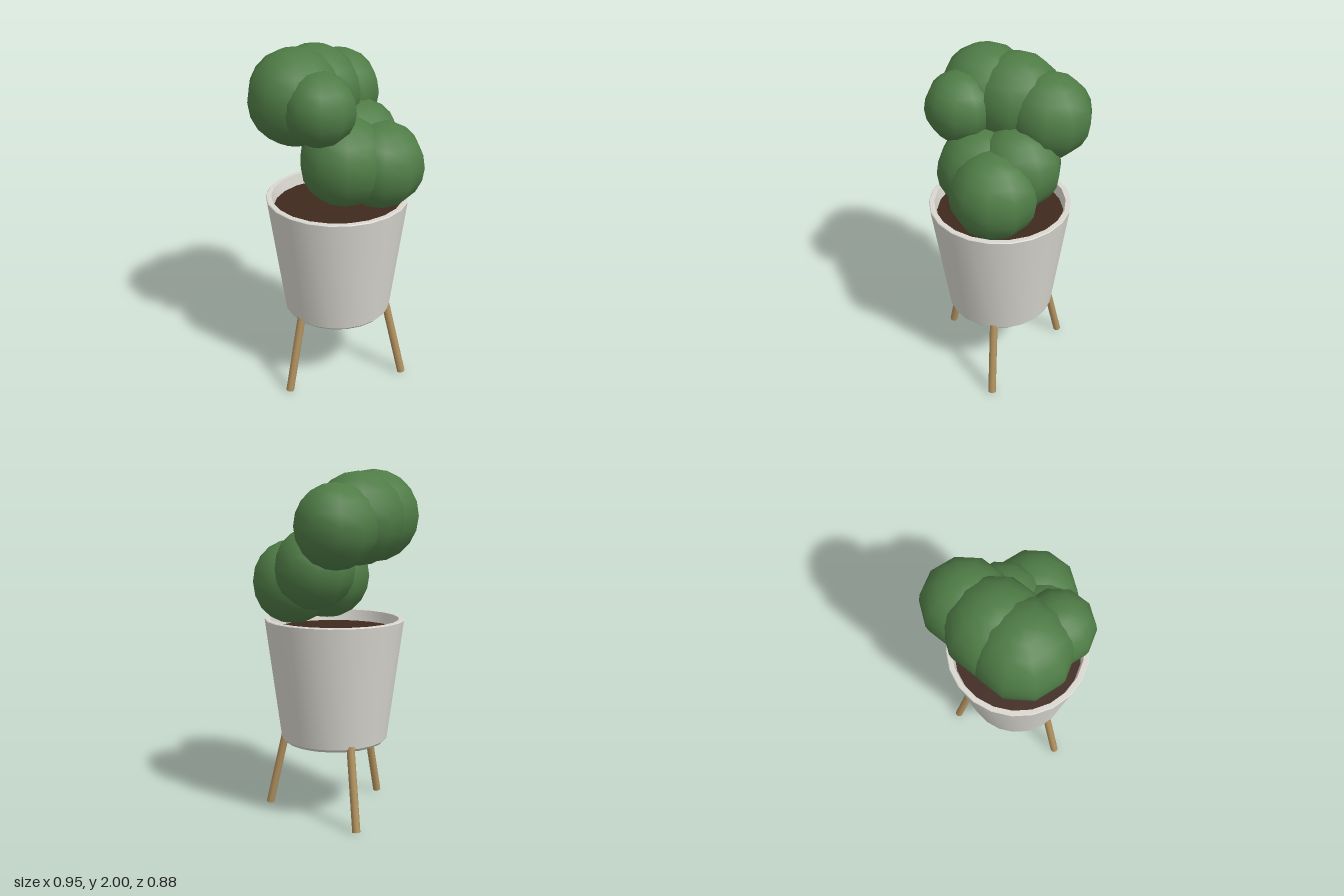
import * as THREE from 'three';
import { toCreasedNormals } from 'three/addons/utils/BufferGeometryUtils.js';

const material = (name, color) => {
  const m = new THREE.MeshStandardMaterial({ color });
  m.name = name;
  return m;
};

export function createModel() {
  const ceramic = material('pale ceramic', 0xd9d7cf);
  const wood = material('light wood', 0xb2925f);
  const earth = material('dark soil', 0x40291f);
  const leaf = material('leaf green', 0x4f7c46);

  const model = new THREE.Group();
  model.name = 'pottedPlant';
  const add = (name, geometry, mat, parent = model) => {
    const mesh = new THREE.Mesh(geometry, mat);
    mesh.name = name;
    parent.add(mesh);
    return mesh;
  };

  // Planter: pot, soil and legs share one slightly offset axis
  const planter = new THREE.Group();
  planter.name = 'planter';
  planter.position.set(-0.014, 0, 0.04);
  model.add(planter);

  // Pot: tapered wall with a bevelled foot, open at the top
  const profile = [
    [0, 0.44], [0.295, 0.44], [0.311, 0.457], [0.403, 1.152],
    [0.399, 1.156], [0.372, 1.156], [0.355, 1.06],
  ].map(([r, y]) => new THREE.Vector2(r, y));
  add('pot', toCreasedNormals(new THREE.LatheGeometry(profile, 22, Math.PI / 2), 0.5), ceramic, planter);

  // Soil disc
  const soil = add('soil', new THREE.CircleGeometry(0.362, 22), earth, planter);
  soil.rotation.x = -Math.PI / 2;
  soil.position.y = 1.09;

  // Three splayed legs
  const up = new THREE.Vector3(0, 1, 0);
  for (let i = 0; i < 3; i++) {
    const a = (i * Math.PI * 2) / 3;
    const top = new THREE.Vector3(0.295 * Math.cos(a), 0.47, 0.295 * Math.sin(a));
    const foot = new THREE.Vector3(0.402 * Math.cos(a), 0.006, 0.402 * Math.sin(a));
    const dir = top.clone().sub(foot);
    const leg = add('leg', new THREE.CylinderGeometry(0.023, 0.023, dir.length(), 10), wood, planter);
    leg.position.copy(top).add(foot).multiplyScalar(0.5);
    leg.quaternion.setFromUnitVectors(up, dir.normalize());
  }

  // Foliage: overlapping low-poly balls [x, y, z, radius]
  const foliage = new THREE.Group();
  foliage.name = 'foliage';
  model.add(foliage);
  [
    [-0.217, 1.738, 0.135, 0.262],
    [-0.16, 1.725, -0.03, 0.26],
    [-0.075, 1.687, -0.217, 0.235],
    [-0.052, 1.72, 0.252, 0.197],
    [0.231, 1.363, 0.037, 0.243],
    [0.05, 1.398, 0.126, 0.25],
    [0.078, 1.45, -0.073, 0.235],
  ].forEach(([x, y, z, r]) => {
    add('leafBall', new THREE.SphereGeometry(r, 10, 10), leaf, foliage).position.set(x, y, z);
  });

  return model;
}
